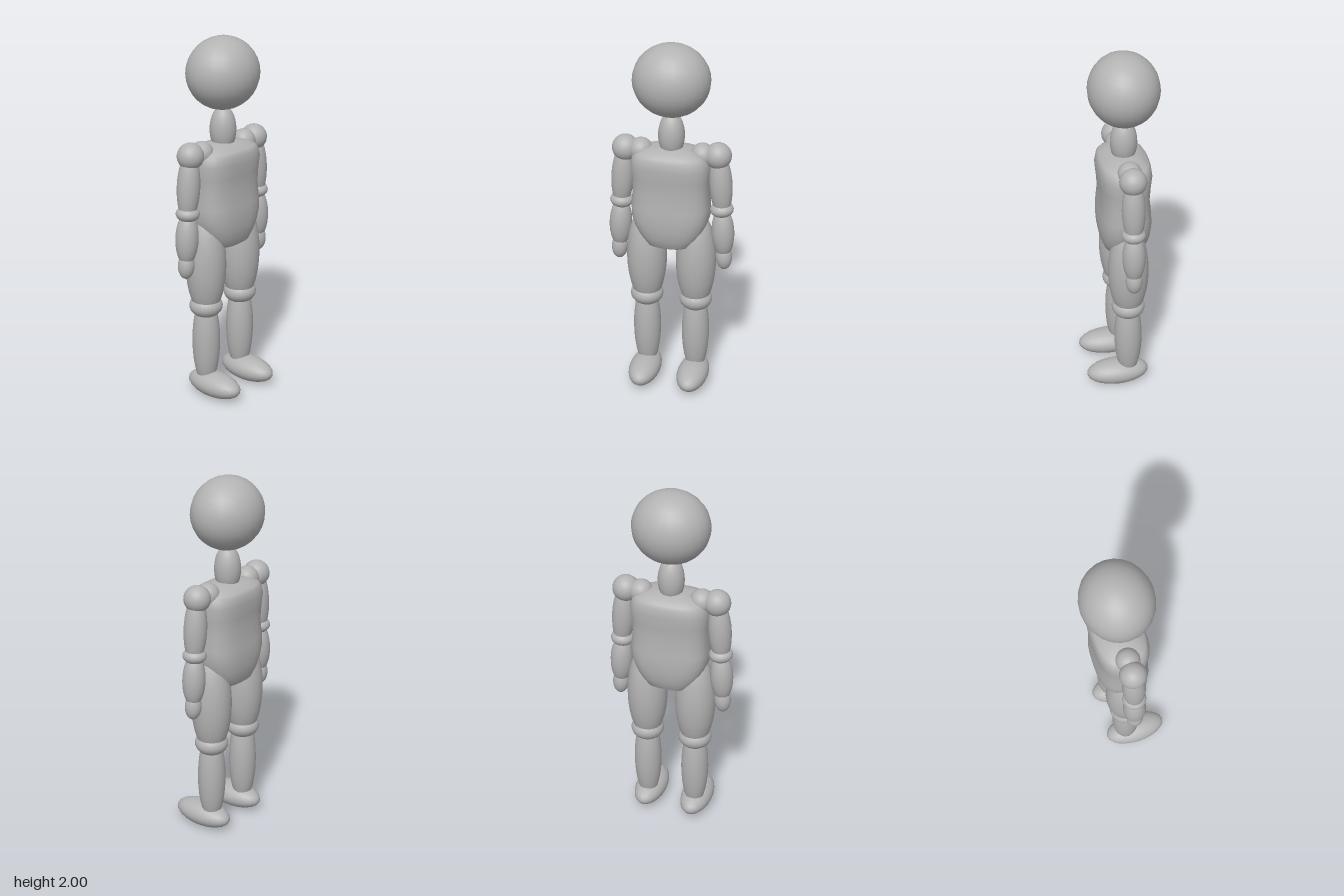
import * as THREE from 'three';
import { mergeVertices } from 'three/addons/utils/BufferGeometryUtils.js';

const Z = -0.024; // depth of the body's axis

// Torso: rounded-box cross-sections stacked as [y, half width, half depth]
function torsoGeometry() {
  const rings = [
    [0.868, 0, 0], [0.868, 0.11, 0.095], [0.88, 0.135, 0.112], [0.93, 0.168, 0.13],
    [0.98, 0.193, 0.139], [1.04, 0.212, 0.143], [1.1, 0.214, 0.14], [1.19, 0.207, 0.131],
    [1.27, 0.21, 0.136], [1.34, 0.217, 0.143], [1.385, 0.205, 0.136], [1.405, 0.185, 0.124],
    [1.425, 0.14, 0.09], [1.437, 0.07, 0.045], [1.44, 0, 0],
  ];
  const geometry = new THREE.LatheGeometry(rings.map(([y]) => new THREE.Vector2(1, y)), 32);
  const pos = geometry.attributes.position;
  const squarish = (v) => Math.sign(v) * Math.pow(Math.abs(v), 2 / 2.8);
  for (let i = 0; i < pos.count; i++) {
    const [y, hx, hz] = rings[i % rings.length];
    pos.setXYZ(i, squarish(pos.getX(i)) * hx, y, squarish(pos.getZ(i)) * hz);
  }
  geometry.deleteAttribute('uv');
  geometry.deleteAttribute('normal');
  const merged = mergeVertices(geometry, 1e-5);
  merged.computeVertexNormals();
  return merged;
}

export function createModel() {
  const model = new THREE.Group();
  model.name = 'jointedFigure';
  const grey = new THREE.MeshStandardMaterial({ color: 0xb3b3b3 });
  grey.name = 'plain grey';
  const ball = new THREE.SphereGeometry(1, 24, 16);

  // Ellipsoid from centre and half sizes, with an optional sideways tilt
  function ellipsoid(name, [x, y, z], [rx, ry, rz], tilt = 0) {
    const mesh = new THREE.Mesh(ball, grey);
    mesh.name = name;
    mesh.position.set(x, y, z);
    mesh.scale.set(rx, ry, rz);
    mesh.rotation.z = tilt;
    model.add(mesh);
  }

  ellipsoid('head', [0, 1.805, Z], [0.207, 0.195, 0.188]);
  ellipsoid('neck', [0, 1.5, Z], [0.071, 0.13, 0.072]);

  const torso = new THREE.Mesh(torsoGeometry(), grey);
  torso.name = 'torso';
  torso.position.z = Z + 0.003;
  model.add(torso);

  for (const [side, s] of [['left', 1], ['right', -1]]) {
    // Arm
    ellipsoid(side + 'Collar', [s * 0.168, 1.402, Z], [0.065, 0.065, 0.065]);
    ellipsoid(side + 'Shoulder', [s * 0.253, 1.405, Z], [0.072, 0.072, 0.072]);
    ellipsoid(side + 'UpperArm', [s * 0.27, 1.24, Z], [0.062, 0.19, 0.062], s * 0.07);
    ellipsoid(side + 'Elbow', [s * 0.278, 1.095, Z], [0.064, 0.043, 0.064], s * 0.06);
    ellipsoid(side + 'Forearm', [s * 0.286, 0.957, Z], [0.062, 0.148, 0.062], s * 0.05);
    ellipsoid(side + 'Hand', [s * 0.294, 0.807, Z], [0.045, 0.074, 0.045], s * 0.05);

    // Leg
    ellipsoid(side + 'Thigh', [s * 0.139, 0.77, Z], [0.111, 0.3, 0.111]);
    ellipsoid(side + 'Knee', [s * 0.14, 0.53, Z], [0.092, 0.067, 0.092]);
    ellipsoid(side + 'Shin', [s * 0.14, 0.32, Z], [0.077, 0.28, 0.077]);
    ellipsoid(side + 'Foot', [s * 0.14, 0.07, 0.036], [0.088, 0.07, 0.177]);
  }
  return model;
}
